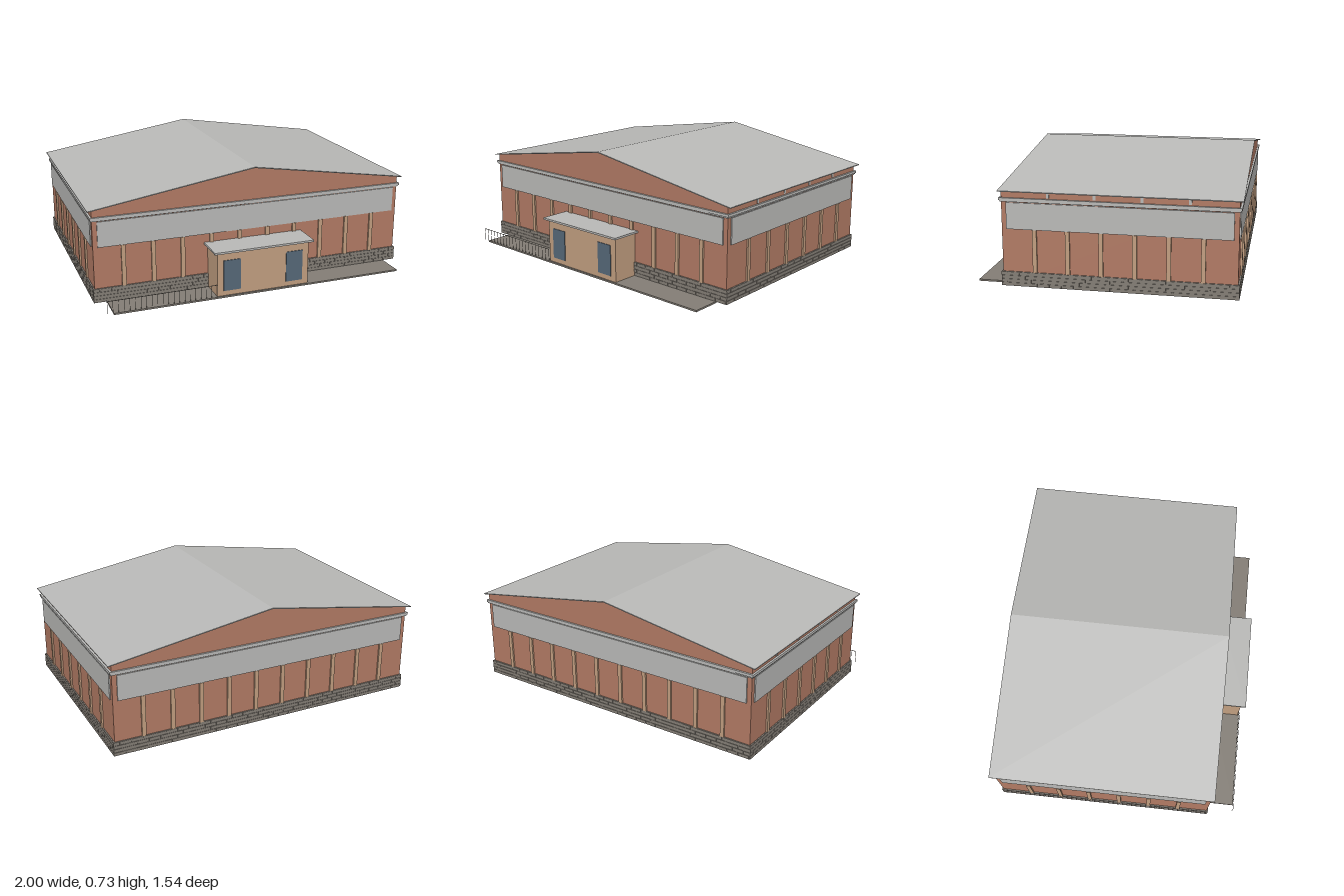
import * as THREE from 'three';
import { mergeGeometries } from 'three/addons/utils/BufferGeometryUtils.js';

const mat = (name, color) => {
  const m = new THREE.MeshStandardMaterial({ color });
  m.name = name;
  return m;
};

export function createModel() {
  const brick = mat('brick', 0xb17a64);
  const metal = mat('light grey metal', 0xb9b9b7);
  const tan = mat('tan render', 0xc19e80);
  const stone = mat('grey stone', 0x837d75);
  const glass = mat('blue glass', 0x566878);
  const dark = mat('dark frame', 0x3c3e40);

  const model = new THREE.Group();
  model.name = 'hall';

  // Box geometry from its minimum and maximum corners
  const box = (x0, x1, y0, y1, z0, z1) =>
    new THREE.BoxGeometry(x1 - x0, y1 - y0, z1 - z0)
      .translate((x0 + x1) / 2, (y0 + y1) / 2, (z0 + z1) / 2);
  const add = (name, material, geometries) => {
    const list = [].concat(geometries);
    const mesh = new THREE.Mesh(list.length > 1 ? mergeGeometries(list) : list[0], material);
    mesh.name = name;
    model.add(mesh);
    return mesh;
  };
  const extrude = (points, z0, z1) =>
    new THREE.ExtrudeGeometry(new THREE.Shape(points.map(p => new THREE.Vector2(...p))),
      { depth: z1 - z0, bevelEnabled: false }).translate(0, 0, z0);

  // Hall footprint
  const W = 0.975, ZB = -0.75, ZF = 0.58, BASE = 0.01, T = 0.01;
  const ZC = (ZB + ZF) / 2, HALF = (ZF - ZB) / 2;

  // The four faces: half length along the wall and a placement for wall-local geometry
  // (local x runs along the wall, local z points outwards from its surface)
  const faces = [
    { name: 'front', half: W, turn: 0, x: 0, z: ZF },
    { name: 'back', half: W, turn: Math.PI, x: 0, z: ZB },
    { name: 'left', half: HALF, turn: Math.PI / 2, x: W, z: ZC },
    { name: 'right', half: HALF, turn: -Math.PI / 2, x: -W, z: ZC },
  ];
  const place = (geometry, f) => geometry.rotateY(f.turn).translate(f.x, 0, f.z);

  // Brick walls, open underneath
  const gable = [[-W, BASE], [W, BASE], [W, 0.566], [0, 0.72], [-W, 0.566]];
  add('frontWall', brick, extrude(gable, ZF - T, ZF));
  add('backWall', brick, extrude(gable, ZB, ZB + T));
  for (const s of [-1, 1]) {
    const xs = [s * W, s * (W - T)].sort((a, b) => a - b);
    add(s > 0 ? 'leftWall' : 'rightWall', brick, box(xs[0], xs[1], BASE, 0.566, ZB + T, ZF - T));
  }

  // Thin gabled roof
  add('roof', metal, extrude(
    [[-1, 0.562], [0, 0.72], [1, 0.562], [1, 0.567], [0, 0.726], [-1, 0.567]], -0.77, 0.595));

  // Tie beams whose ends show under the eaves
  add('tieBeams', metal, [0.31, 0.045, -0.22, -0.485].map(z =>
    box(-W - 0.003, W + 0.003, 0.53, 0.56, z - 0.008, z + 0.008)));

  for (const f of faces) {
    const long = f.half === W;

    // Stone plinth laid in staggered courses
    const stones = [box(-f.half - 0.006, f.half + 0.006, BASE, 0.095, 0, 0.006)];
    const rows = 4, rowH = 0.085 / rows, step = 0.07, end = f.half + 0.009;
    for (let r = 0; r < rows; r++) {
      for (let a = -end - (r % 2) * step / 2; a < end; a += step) {
        const a0 = Math.max(a, -end) + 0.001, a1 = Math.min(a + step, end) - 0.001;
        if (a1 - a0 < 0.006) continue;
        stones.push(box(a0, a1, BASE + r * rowH + 0.001, BASE + (r + 1) * rowH - 0.001, 0.004, 0.009));
      }
    }
    add(f.name + 'Plinth', stone, stones.map(g => place(g, f)));

    // Pilasters
    const count = long ? 10 : 6, pitch = long ? 0.178 : 0.19;
    const pilasters = [];
    for (let i = 0; i < count; i++) {
      const c = (i - (count - 1) / 2) * pitch;
      pilasters.push(place(box(c - 0.0125, c + 0.0125, 0.095, 0.345, 0, 0.01), f));
    }
    add(f.name + 'Pilasters', tan, pilasters);

    // High cladding panel
    const p = f.half - 0.028;
    add(f.name + 'Panel', metal, place(box(-p, p, 0.345, 0.498, 0, 0.007), f));

    // Stepped cornice
    add(f.name + 'Cornice', metal, [
      place(box(-f.half - 0.007, f.half + 0.007, 0.502, 0.51, 0, 0.007), f),
      place(box(-f.half - 0.012, f.half + 0.012, 0.51, 0.525, 0, 0.012), f),
    ]);
  }

  // Entrance annex
  add('annex', tan, box(-0.29, 0.29, 0, 0.28, ZF, 0.745));
  add('annexRoof', metal, box(-0.313, 0.313, 0.28, 0.292, ZF - T - 0.005, 0.77));
  for (const s of [-1, 1]) {
    const c = s * 0.198;
    add('annexDoor', glass, box(c - 0.053, c + 0.053, 0.04, 0.23, 0.744, 0.749));
  }

  // Inner door on the inside of the front wall
  const zi = ZF - T;
  add('innerDoorGlass', glass, box(-0.125, 0.125, 0.03, 0.225, zi - 0.004, zi));
  add('innerDoorFrame', dark, [
    ...[-0.128, 0, 0.128].map(x => box(x - 0.005, x + 0.005, 0.025, 0.23, zi - 0.008, zi)),
    box(-0.133, 0.133, 0.222, 0.232, zi - 0.008, zi),
    box(-0.133, 0.133, 0.022, 0.032, zi - 0.008, zi),
  ]);

  // Paving beside and in front of the annex
  add('paving', stone, [
    box(-0.907, -0.29, 0, 0.01, ZF, 0.755),
    box(0.29, 0.907, 0, 0.01, ZF, 0.755),
    box(-0.29, 0.29, 0, 0.01, 0.745, 0.755),
  ]);

  // Slender railing on one side of the entrance
  const rail = [box(-0.945, -0.29, 0.084, 0.087, 0.751, 0.753)];
  for (let x = -0.944; x < -0.29; x += 0.0325) {
    rail.push(box(x - 0.001, x + 0.001, 0.008, 0.085, 0.751, 0.753));
  }
  add('railing', stone, rail);

  return model;
}
